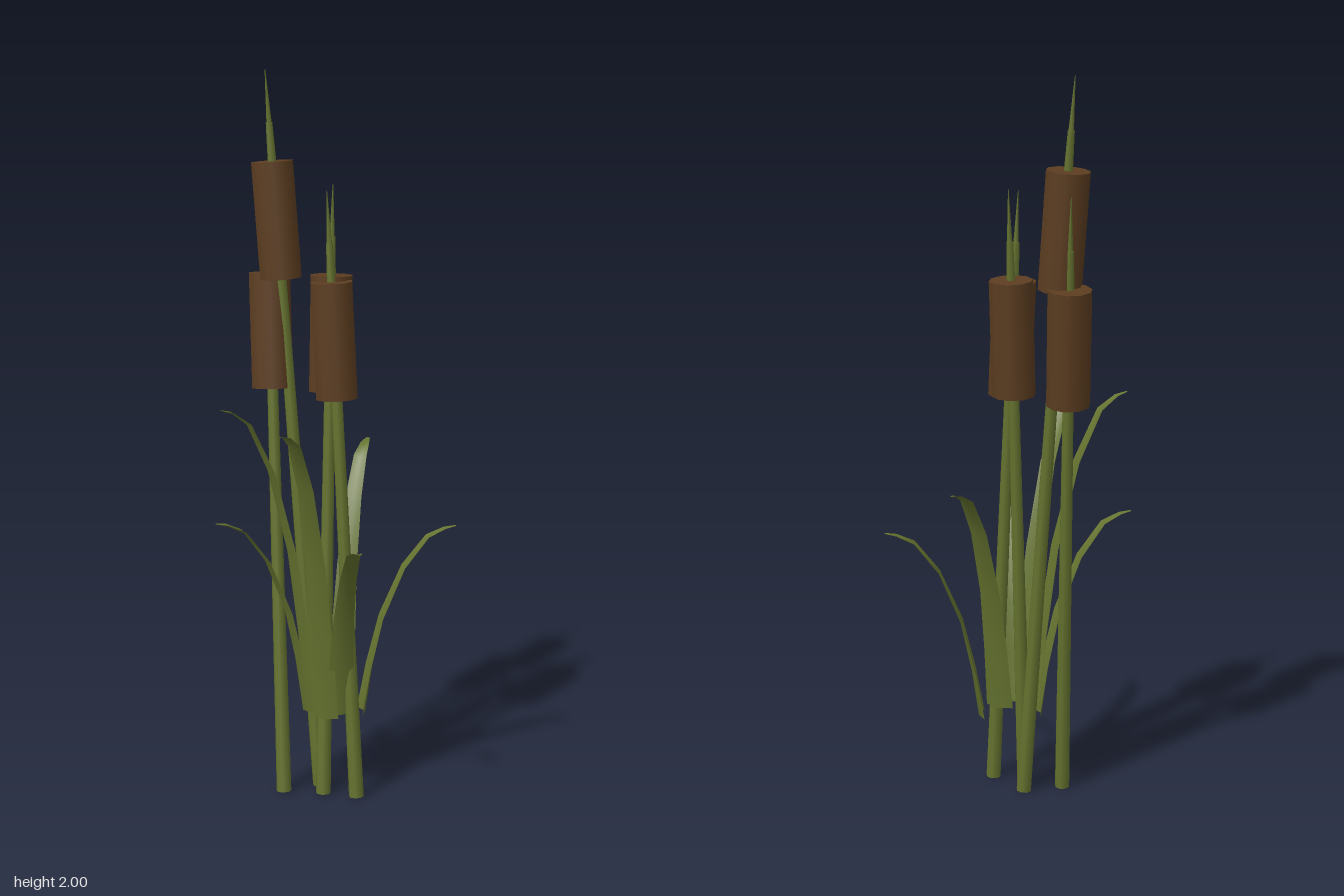
import * as THREE from 'three';

const green = new THREE.MeshStandardMaterial({ color: 0x65732f, side: THREE.DoubleSide });
green.name = 'reedGreen';
const brown = new THREE.MeshStandardMaterial({ color: 0x5c3d20 });
brown.name = 'seedBrown';

// Tapered round rod between two points
function rod(name, a, b, rBottom, rTop, sides, material) {
  const dir = b.clone().sub(a);
  const mesh = new THREE.Mesh(new THREE.CylinderGeometry(rTop, rBottom, dir.length(), sides), material);
  mesh.position.copy(a).add(b).multiplyScalar(0.5);
  mesh.quaternion.setFromUnitVectors(new THREE.Vector3(0, 1, 0), dir.normalize());
  mesh.name = name;
  return mesh;
}

// One cattail: leaning stem, seed head, neck and pointed spike
function cattail(foot, tip) {
  const group = new THREE.Group();
  group.name = 'cattail';
  const base = new THREE.Vector3(foot[0], 0.002, foot[1]);
  const end = new THREE.Vector3(...tip);
  const at = (y) => base.clone().lerp(end, (y - base.y) / (end.y - base.y));
  const headTop = tip[1] - 0.243;
  const headBottom = headTop - 0.315;
  group.add(
    rod('stem', base, at(headBottom + 0.02), 0.021, 0.015, 8, green),
    rod('seedHead', at(headBottom), at(headTop), 0.059, 0.059, 10, brown),
    rod('neck', at(headTop - 0.01), at(tip[1] - 0.14), 0.012, 0.009, 6, green),
    rod('spike', at(tip[1] - 0.15), end, 0.008, 0.001, 5, green),
  );
  return group;
}

// Leaf stations: outward fraction, height fraction, width
const STATIONS = [
  [0, 0, 0.08], [0.09, 0.25, 0.07], [0.22, 0.52, 0.058], [0.45, 0.79, 0.047],
  [0.7, 0.95, 0.038], [0.88, 0.99, 0.025], [1, 1, 0.01],
];

// Arching blade with a shallow folded section
function leaf(base, tip) {
  const a = new THREE.Vector3(...base);
  const b = new THREE.Vector3(...tip);
  const out = new THREE.Vector3(b.x - a.x, 0, b.z - a.z);
  const reach = out.length();
  out.normalize();
  const side = new THREE.Vector3(out.z, 0, -out.x);
  const pos = [];
  const index = [];
  STATIONS.forEach(([r, h, w], i) => {
    const c = a.clone().addScaledVector(out, r * reach);
    c.y = a.y + (b.y - a.y) * h;
    for (const s of [-1, 0, 1]) {
      const p = c.clone().addScaledVector(side, s * w / 2);
      if (s === 0) { // the midrib sits below and outside the edges
        p.addScaledVector(out, w * 0.2 * (1 - h));
        p.y -= w * 0.18 * h;
      }
      pos.push(p.x, p.y, p.z);
    }
    if (i === 0) return;
    for (let k = 0; k < 2; k++) {
      const q = (i - 1) * 3 + k;
      index.push(q, q + 3, q + 1, q + 1, q + 3, q + 4);
    }
  });
  const geo = new THREE.BufferGeometry();
  geo.setAttribute('position', new THREE.Float32BufferAttribute(pos, 3));
  geo.setIndex(index);
  // Keep the upper side as the front
  geo.computeVertexNormals();
  if (geo.attributes.normal.getY(13) < 0) {
    geo.setIndex(index.reverse());
    geo.computeVertexNormals();
  }
  const mesh = new THREE.Mesh(geo, green);
  mesh.name = 'leaf';
  return mesh;
}

export function createModel() {
  const model = new THREE.Group();
  model.name = 'cattails';

  // Stems: foot (x, z) and spike tip
  model.add(
    cattail([-0.015, -0.055], [-0.072, 2.0, -0.222]),
    cattail([-0.125, -0.078], [-0.045, 1.695, -0.255]),
    cattail([-0.045, 0.0], [0.04, 1.7, -0.068]),
    cattail([0.015, 0.075], [-0.01, 1.69, -0.028]),
  );

  // Leaves: base and tip
  model.add(
    leaf([0.065, 0.27, -0.065], [0.285, 0.94, -0.228]),
    leaf([0.075, 0.22, 0.01], [0.32, 0.75, 0.13]),
    leaf([-0.012, 0.24, 0.03], [-0.135, 0.78, 0.285]),
    leaf([-0.045, 0.23, 0.01], [-0.285, 1.09, 0.143]),
    leaf([-0.055, 0.24, -0.04], [-0.32, 1.125, -0.08]),
    leaf([-0.045, 0.23, -0.07], [-0.308, 0.8, -0.13]),
  );
  return model;
}
